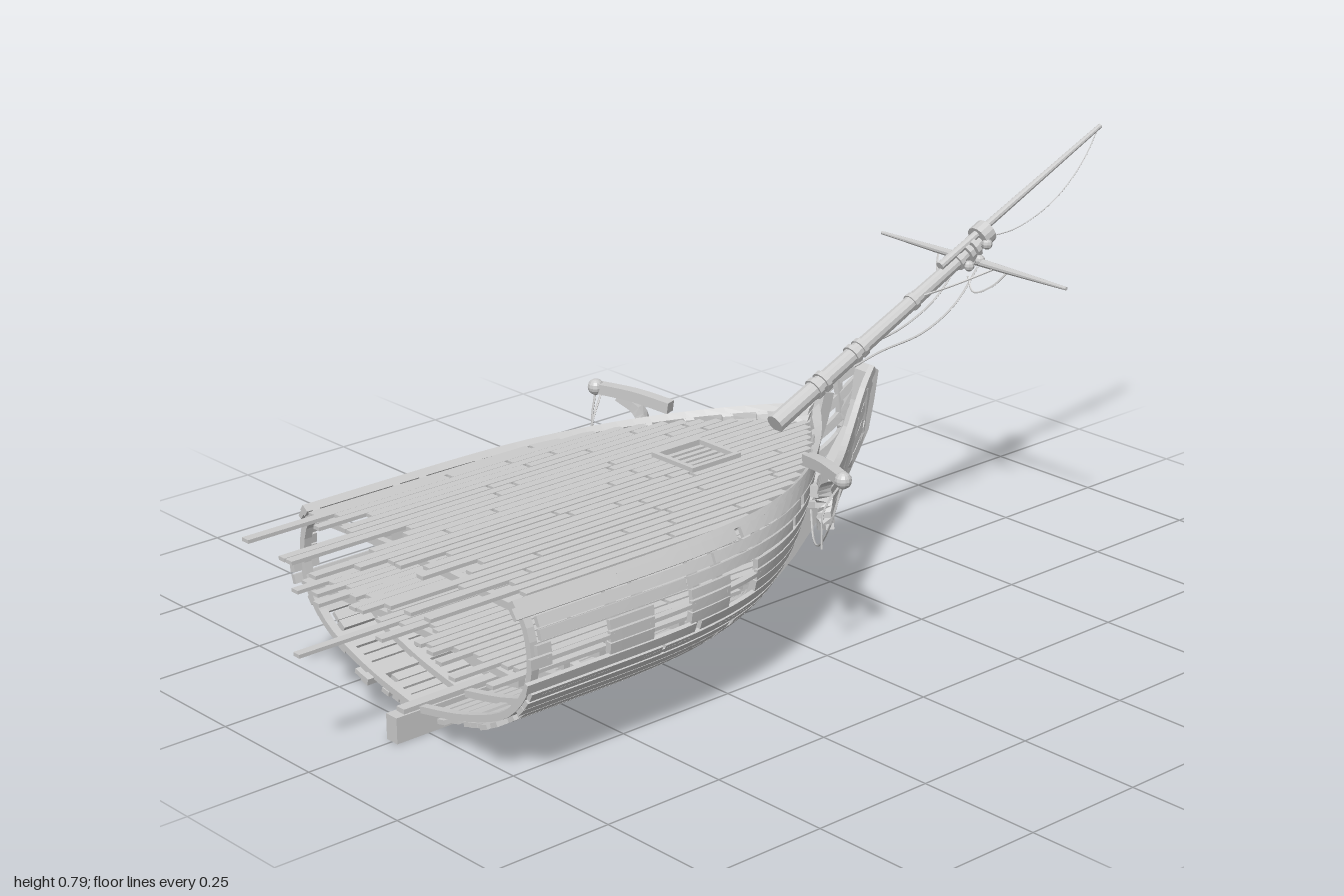
import * as THREE from 'three';
import { mergeGeometries } from 'three/addons/utils/BufferGeometryUtils.js';

const V = (x, y, z) => new THREE.Vector3(x, y, z);
const clamp = THREE.MathUtils.clamp;
const mat = new THREE.MeshStandardMaterial({ color: 0xcccccc, flatShading: true, side: THREE.DoubleSide });
let seed = 7;
const rnd = () => (seed = (seed * 16807) % 2147483647) / 2147483647;

// Solid through a list of four-cornered sections, wound so it faces outwards
function loft(rings) {
  const pos = rings.flat(), idx = [], n = rings.length;
  const quad = (a, b, c, d) => idx.push(a, b, c, a, c, d);
  for (let i = 0; i < n - 1; i++) for (let j = 0; j < 4; j++) {
    const k = (j + 1) % 4;
    quad(i * 4 + j, i * 4 + k, i * 4 + 4 + k, i * 4 + 4 + j);
  }
  const e = (n - 1) * 4;
  quad(3, 2, 1, 0);
  quad(e, e + 1, e + 2, e + 3);
  let volume = 0;
  for (let i = 0; i < idx.length; i += 3) volume += pos[idx[i]].dot(pos[idx[i + 1]].clone().cross(pos[idx[i + 2]]));
  if (volume < 0) idx.reverse();
  const g = new THREE.BufferGeometry().setFromPoints(pos);
  g.setIndex(idx);
  const flat = g.toNonIndexed();
  flat.computeVertexNormals();
  return flat;
}
// Rectangular timber along a curve
function timber(points, w, h, n = 14, taper = 1) {
  const curve = new THREE.CatmullRomCurve3(points), rings = [];
  for (let i = 0; i <= n; i++) {
    const c = curve.getPointAt(i / n), t = curve.getTangentAt(i / n), k = 1 + (taper - 1) * i / n;
    const s = t.clone().cross(V(0, 1, 0)).normalize().multiplyScalar(w * k / 2);
    const u = s.clone().normalize().cross(t).multiplyScalar(h * k / 2);
    rings.push([[1, 1], [1, -1], [-1, -1], [-1, 1]].map(([a, b]) => c.clone().addScaledVector(s, a).addScaledVector(u, b)));
  }
  return loft(rings);
}
const strip = g => { const f = g.index ? g.toNonIndexed() : g; f.deleteAttribute('uv'); return f; };
const box = (x0, x1, y, h, z, w) => strip(new THREE.BoxGeometry(x1 - x0, h, w).translate((x0 + x1) / 2, y, z));
const rope = (points, r = 0.0022) => strip(new THREE.TubeGeometry(new THREE.CatmullRomCurve3(points), 20, r, 5));
function spar(a, b, ra, rb, sides = 12) {
  const d = b.clone().sub(a), g = new THREE.CylinderGeometry(rb, ra, d.length(), sides);
  g.applyQuaternion(new THREE.Quaternion().setFromUnitVectors(V(0, 1, 0), d.normalize()));
  return strip(g.translate(...a.clone().add(b).multiplyScalar(0.5).toArray()));
}
const mirror = points => points.map(p => V(p.x, p.y, -p.z));

// Hull form: midship profile (z, y), stem line and sheer
const profile = new THREE.SplineCurve([[0.012, 0.035], [0.13, 0.06], [0.24, 0.1], [0.3, 0.15], [0.328, 0.205],
  [0.331, 0.26], [0.318, 0.31], [0.29, 0.35]].map(p => new THREE.Vector2(...p)));
const stemX = y => 0.02 + 0.19 * Math.pow(clamp((y - 0.035) / 0.315, 0, 1), 0.8);
const fullness = s => 2.1 + 1.5 * s;
function hull(s, x, off = 0, side = 1) {
  s = clamp(s, 0, 1);
  const q = profile.getPointAt(s), t = profile.getTangentAt(s), end = stemX(q.y);
  const px = Math.min(x, end), u = clamp((px + 0.6) / (end + 0.6), 0, 1);
  const z = Math.max(0.004, q.x * (1 - Math.pow(u, fullness(s))) + 0.006 - off * t.y);
  const y = q.y + off * t.x + 0.03 * s * Math.pow(Math.max(0, (px + 0.2) / 0.4), 2);
  return V(px - off * Math.pow(u, 10), y, z * side);
}
function strake(s0, s1, xa, xb, thick, side) {
  const n = Math.max(3, Math.ceil((xb - xa) / 0.03)), rings = [];
  for (let i = 0; i <= n; i++) {
    const x = xa + (xb - xa) * i / n;
    rings.push([hull(s0, x, 0, side), hull(s1, x, 0, side), hull(s1, x, thick, side), hull(s0, x, thick, side)]);
  }
  return loft(rings);
}

export function createModel() {
  const model = new THREE.Group();
  const add = (name, geos) => {
    const mesh = new THREE.Mesh(mergeGeometries(geos), mat);
    mesh.name = name;
    model.add(mesh);
  };
  const ports = [[-0.73, -0.6], [-0.5, -0.41], [-0.31, -0.23]];
  const sides = [1, -1];

  // Hull planking, broken into lengths and cut at the gun ports
  const planks = [], count = 22;
  for (const side of sides) for (let k = 0; k < count; k++) {
    const s0 = 0.02 + 0.96 * k / count, s1 = s0 + (0.96 / count) * (0.72 + 0.2 * rnd());
    const y = profile.getPointAt((s0 + s1) / 2).y, band = y > 0.213 && y < 0.277;
    const last = stemX(y) + 0.01;
    let x = -0.79 + 0.06 * rnd();
    while (x < last - 0.01) {
      let end = x + 0.25 + 0.3 * rnd(), next = end + 0.006 + 0.012 * rnd();
      if (last - end < 0.25) end = next = last;
      if (band) for (const [a, b] of ports) if (x < b && end > a) {
        end = a; next = b;
        break;
      }
      if (end - x > 0.01) planks.push(strake(s0, s1, x, end, k % 6 === 4 ? 0.013 : 0.009, side));
      x = next;
    }
  }
  add('hullPlanks', planks);

  // Top rail
  add('topRails', sides.map(d => strake(0.975, 1, -0.78, 0.21, 0.016, d)));

  // Ribs
  const ribX = [-0.76, -0.66, -0.58, -0.52, -0.39, -0.33, -0.21, -0.12, -0.04, 0.03, 0.09, 0.14], ribs = [];
  for (const side of sides) for (const x of ribX) {
    const rings = [];
    for (let i = 0; i <= 20; i++) {
      const s = i / 20, y = profile.getPointAt(s).y;
      if (stemX(y) < x + 0.02 || (x === -0.66 && y > 0.21)) continue;
      rings.push([[-0.008, 0.009], [0.008, 0.009], [0.008, 0.022], [-0.008, 0.022]].map(([dx, o]) => hull(s, x + dx, o, side)));
    }
    ribs.push(loft(rings));
  }
  add('ribs', ribs);

  // Gun port sills and lintels
  const frames = [];
  for (const side of sides) for (const [a, b] of ports) for (const s of [0.635, 0.775])
    frames.push(strake(s, s + 0.014, a - 0.01, b + 0.01, 0.016, side));
  add('portFrames', frames);

  // Decks: cambered beams and planks with ragged after ends
  const longEnds = { '-12': -0.94, '-6': -0.95, '-5': -0.95, '-1': -0.96, 0: -0.88, 8: -0.94, 10: -0.93, 12: -0.92 };
  function deck(name, y0, s, half, ragged) {
    const boards = [], beams = [], pitch = 0.0205, end = stemX(y0);
    const camber = z => y0 + 0.01 * (1 - (z / 0.3) ** 2);
    for (let k = -14; k <= 14; k++) {
      const z = k * pitch;
      if (Math.abs(z) > half - 0.006) continue;
      const front = -0.6 + (end + 0.6) * Math.pow(1 - Math.abs(z) / half, 1 / fullness(s)) - 0.02;
      let x = longEnds[k] ?? -0.7 - 0.13 * rnd();
      if (ragged) x = k === -1 ? -1 : -0.72 - 0.14 * rnd();
      while (x < front - 0.02) {
        let stop = Math.min(front, x + 0.25 + 0.35 * rnd()), next = stop + 0.008;
        if (Math.abs(k) < 3 && x < -0.05 && stop > -0.155) { stop = -0.155; next = -0.045; }
        if (stop > x) boards.push(box(x, stop, camber(z), 0.007, z, pitch * (0.8 + 0.14 * rnd())));
        x = next;
      }
    }
    for (const x of ribX) {
      const w = hull(s, x, 0.014).z;
      if (w < 0.03 || (y0 < 0.3 && x > 0.05)) continue;
      beams.push(timber([V(x, camber(w) - 0.011, -w), V(x, camber(0) - 0.011, 0), V(x, camber(w) - 0.011, w)], 0.014, 0.014, 8));
    }
    add(name + 'Planks', boards);
    add(name + 'Beams', beams);
  }
  deck('upperDeck', 0.337, 0.97, 0.293, false);
  deck('lowerDeck', 0.203, 0.58, 0.31, true);

  // Hatch coaming and its slats
  const hatch = [-0.052, 0.052].map(z => box(-0.16, -0.04, 0.35, 0.018, z, 0.01));
  for (const x of [-0.16, -0.05]) hatch.push(box(x, x + 0.01, 0.35, 0.018, 0, 0.104));
  for (let i = -2; i <= 2; i++) hatch.push(box(-0.15, -0.05, 0.347, 0.006, i * 0.019, 0.011));
  add('hatch', hatch);

  // Keel, stem post and knee of the head
  const slab = (points, depth) => strip(new THREE.ExtrudeGeometry(
    new THREE.Shape(points.map(p => new THREE.Vector2(...p))), { depth, bevelEnabled: false }).translate(0, 0, -depth / 2));
  add('keel', [slab([[-0.82, 0], [-0.25, 0], [0.02, 0.02], [0.02, 0.045], [-0.82, 0.05]], 0.03),
    box(-0.8, 0.02, 0.053, 0.012, 0, 0.022)]);
  add('stem', [
    timber([V(0.015, 0.02, 0), V(0.03, 0.07, 0), V(0.11, 0.17, 0), V(0.17, 0.26, 0), V(0.215, 0.35, 0), V(0.23, 0.4, 0)], 0.026, 0.026, 16),
    slab([[0.02, 0.045], [0.08, 0.048], [0.14, 0.09], [0.22, 0.165], [0.3, 0.245], [0.335, 0.3], [0.35, 0.36], [0.36, 0.415],
      [0.345, 0.428], [0.325, 0.42], [0.315, 0.36], [0.295, 0.31], [0.25, 0.255], [0.18, 0.19], [0.1, 0.12], [0.02, 0.1]], 0.03)]);

  // Curved head rails and the brackets between them
  const rails = [], brackets = [];
  const railPoints = k => [V(-0.03 + 0.03 * k, 0.332 - 0.034 * k, 0.243 - 0.017 * k), V(0.09, 0.318 - 0.037 * k, 0.172 - 0.012 * k),
    V(0.18, 0.322 - 0.038 * k, 0.106 - 0.01 * k), V(0.25, 0.358 - 0.036 * k, 0.062 - 0.007 * k),
    V(0.3, 0.398 - 0.035 * k, 0.036 - 0.004 * k), V(0.342 - 0.008 * k, 0.424 - 0.025 * k, 0.016)];
  for (let k = 0; k < 4; k++) {
    const p = railPoints(k);
    rails.push(timber(p, 0.016, 0.022, 24, 0.7), timber(mirror(p), 0.016, 0.022, 24, 0.7));
  }
  for (const i of [2, 3, 4]) {
    const p = [0, 1, 2, 3].map(k => railPoints(k)[i]);
    p.push(V(p[3].x - 0.01, p[3].y - 0.02, 0.012));
    brackets.push(timber(p, 0.012, 0.012, 10), timber(mirror(p), 0.012, 0.012, 10));
  }
  add('headRails', rails);
  add('headBrackets', brackets);

  // Anchor beams with knees, end knobs and slack ropes
  const arms = [], slack = [];
  for (const d of sides) {
    const m = p => (d > 0 ? p : mirror(p));
    arms.push(timber(m([V(0.005, 0.372, 0.19), V(-0.02, 0.383, 0.26), V(-0.052, 0.387, 0.345)]), 0.024, 0.022, 8, 0.9),
      timber(m([V(-0.005, 0.27, 0.25), V(-0.01, 0.32, 0.247), V(-0.018, 0.355, 0.258), V(-0.035, 0.377, 0.295)]), 0.03, 0.026, 12, 0.6),
      strip(new THREE.SphereGeometry(0.016, 12, 8).translate(-0.053, 0.388, d * 0.341)));
    slack.push(rope(m([V(-0.055, 0.38, 0.34), V(-0.07, 0.31, 0.33), V(-0.04, 0.24, 0.27), V(0.03, 0.205, 0.18), V(0.1, 0.22, 0.1)])),
      rope(m([V(-0.05, 0.375, 0.33), V(-0.08, 0.33, 0.32), V(-0.09, 0.26, 0.325)])),
      rope(m([V(-0.01, 0.3, 0.24), V(0.06, 0.28, 0.18), V(0.13, 0.31, 0.13)])));
  }
  add('anchorBeams', arms);
  add('anchorRopes', slack);

  // Bowsprit, jib boom, cap and lashings
  const foot = V(0.1, 0.365, 0), cap = V(0.665, 0.617, 0), axis = cap.clone().sub(foot).normalize();
  const along = (x, dy = 0, z = 0) => V(x, foot.y + (x - foot.x) * axis.y / axis.x + dy, z);
  add('bowsprit', [spar(foot, cap, 0.019, 0.013)]);
  add('jibBoom', [spar(along(0.54, 0.022), V(0.996, 0.782, 0), 0.009, 0.005, 10)]);
  const bands = [];
  for (const [x, r] of [[0.2, 0.022], [0.22, 0.022], [0.3, 0.021], [0.32, 0.02], [0.46, 0.018], [0.585, 0.019], [0.61, 0.022], [0.625, 0.023]])
    bands.push(spar(along(x), along(x + 0.01), r, r));
  bands.push(spar(along(0.645, 0.01), along(0.67, 0.01), 0.025, 0.025, 14));
  for (const d of sides) for (const [x, dy] of [[0.6, -0.012], [0.63, -0.02], [0.65, 0]])
    bands.push(strip(new THREE.SphereGeometry(0.011, 8, 6).translate(x, along(x).y + dy, d * 0.021)));
  add('spritBands', bands);

  // Cross yard
  const yard = V(0.63, 0.577, 0);
  add('yard', sides.flatMap(d => [spar(yard, V(0.63, 0.577, d * 0.1), 0.0085, 0.007, 10),
    spar(V(0.63, 0.577, d * 0.1), V(0.63, 0.577, d * 0.25), 0.007, 0.0035, 10)]));

  // Bowsprit rigging
  const rig = [rope([V(0.99, 0.778, 0), V(0.95, 0.72, 0), V(0.87, 0.655, 0), V(0.76, 0.617, 0), V(0.67, 0.615, 0)], 0.0012)];
  for (const d of sides) rig.push(
    rope([V(0.63, 0.57, d * 0.092), V(0.61, 0.545, d * 0.075), V(0.59, 0.53, d * 0.045), V(0.6, 0.555, d * 0.018)]),
    rope([V(0.62, 0.57, d * 0.025), V(0.56, 0.51, d * 0.026), V(0.47, 0.47, d * 0.026), V(0.36, 0.455, d * 0.02), V(0.29, 0.44, d * 0.018)]),
    rope([V(0.63, 0.572, d * 0.06), V(0.55, 0.55, d * 0.03), V(0.48, 0.54, d * 0.015)]));
  add('rigging', rig);
  return model;
}
